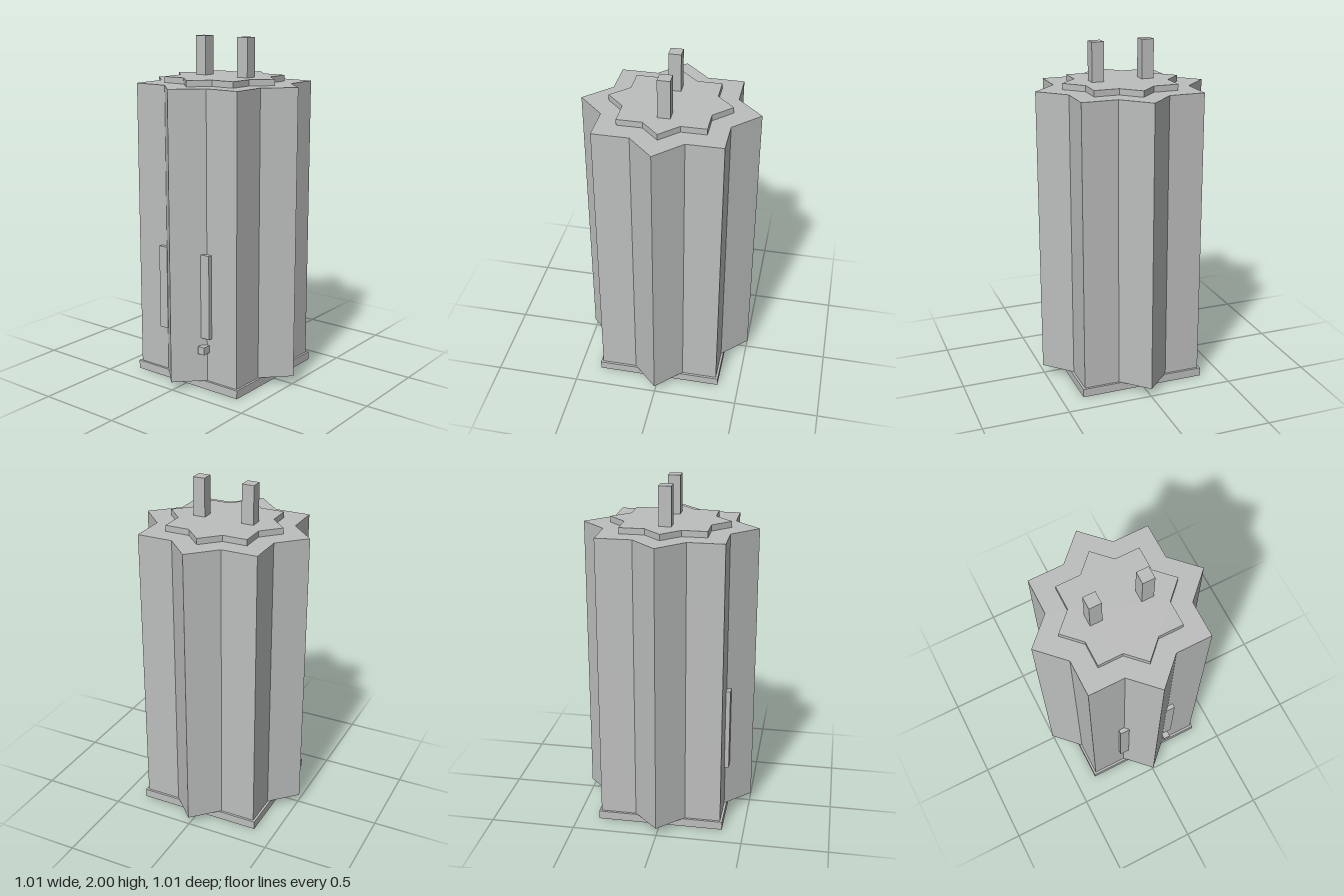
import * as THREE from 'three';

export function createModel() {
  const model = new THREE.Group();
  const grey = new THREE.MeshStandardMaterial({ color: 0xbcbebd });
  grey.name = 'grey';

  const add = (name, geometry) => {
    const mesh = new THREE.Mesh(geometry, grey);
    mesh.name = name;
    model.add(mesh);
    return mesh;
  };

  // Box given by its lower and upper corners
  const box = (name, [x0, y0, z0], [x1, y1, z1]) =>
    add(name, new THREE.BoxGeometry(x1 - x0, y1 - y0, z1 - z0))
      .position.set((x0 + x1) / 2, (y0 + y1) / 2, (z0 + z1) / 2);

  // Eight-pointed prism: the outline of two squares, one turned by 45 degrees
  const star = (name, radius, y0, y1) => {
    const inner = radius * Math.SQRT1_2 / Math.cos(Math.PI / 8);
    const points = [];
    for (let i = 0; i < 16; i++) {
      const r = i % 2 ? inner : radius;
      const a = i * Math.PI / 8;
      points.push(new THREE.Vector2(r * Math.cos(a), r * Math.sin(a)));
    }
    const geometry = new THREE.ExtrudeGeometry(new THREE.Shape(points), { depth: y1 - y0, bevelEnabled: false });
    geometry.rotateX(-Math.PI / 2);
    add(name, geometry).position.y = y0;
  };

  // Square foot, star-shaped body and raised cap
  box('base', [-0.372, 0, -0.372], [0.372, 0.05, 0.372]);
  star('body', 0.507, 0.05, 1.74);
  star('cap', 0.35, 1.74, 1.775);

  // Two posts on the cap
  for (const x of [-0.15, 0.15]) {
    box(x > 0 ? 'leftPost' : 'rightPost', [x - 0.036, 1.775, -0.036], [x + 0.036, 2, 0.036]);
  }

  // Raised strips and a small knob on the front
  box('rightStrip', [-0.185, 0.315, 0.345], [-0.127, 0.81, 0.384]);
  box('leftStrip', [0.123, 0.315, 0.345], [0.182, 0.81, 0.384]);
  box('knob', [0.123, 0.225, 0.345], [0.165, 0.27, 0.41]);

  return model;
}
